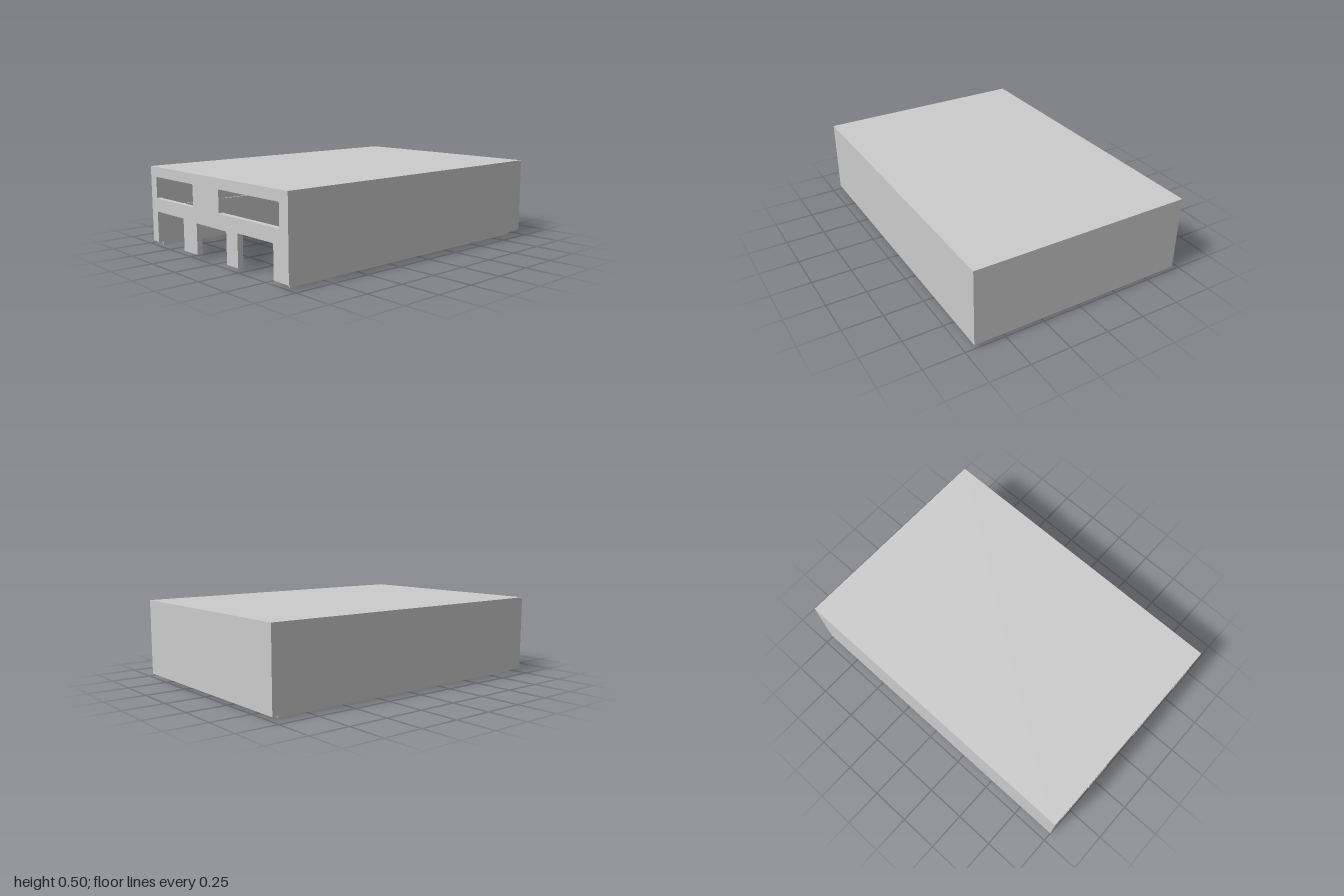
import * as THREE from 'three';

const material = new THREE.MeshStandardMaterial({ color: 0xcccccc, flatShading: true });

// Outer size, and the inner cavity
const W = 0.695, TOP = 0.505, RIM = 0.025, CEIL = 0.48;
const IN = { left: -0.65, right: 0.665, back: -0.935, front: 0.965 };
const R = 0.007; // small corner radius of the cut-outs

function add(group, name, geometry) {
  const mesh = new THREE.Mesh(geometry, material);
  mesh.name = name;
  group.add(mesh);
  return mesh;
}

// U-shaped wall in plan (open to the front), standing from y0 to y1
function uWall(outer, inner, y0, y1) {
  const f = -IN.front;
  const s = new THREE.Shape([
    [outer.left, f], [inner.left, f], [inner.left, -inner.back], [inner.right, -inner.back],
    [inner.right, f], [outer.right, f], [outer.right, -outer.back], [outer.left, -outer.back],
  ].map(([x, y]) => new THREE.Vector2(x, y)));
  const g = new THREE.ExtrudeGeometry(s, { depth: y1 - y0, bevelEnabled: false });
  return g.rotateX(-Math.PI / 2).translate(0, y0, 0);
}

const inset = (d) => ({ left: IN.left + d, right: IN.right - d, back: IN.back + d });

// Rounded window hole
function windowHole(x0, x1, y0, y1) {
  const p = new THREE.Path();
  p.moveTo(x0 + R, y0).lineTo(x1 - R, y0).quadraticCurveTo(x1, y0, x1, y0 + R);
  p.lineTo(x1, y1 - R).quadraticCurveTo(x1, y1, x1 - R, y1);
  p.lineTo(x0 + R, y1).quadraticCurveTo(x0, y1, x0, y1 - R);
  p.lineTo(x0, y0 + R).quadraticCurveTo(x0, y0, x0 + R, y0);
  return p;
}

// Front panel with two windows and three notches open at the bottom
function frontPanel() {
  const s = new THREE.Shape();
  s.moveTo(-W, RIM);
  for (const [x0, x1, h] of [[-0.63, -0.315, 0.222], [-0.167, 0.142, 0.215], [0.25, 0.57, 0.222]]) {
    s.lineTo(x0, RIM).lineTo(x0, h - R).quadraticCurveTo(x0, h, x0 + R, h);
    s.lineTo(x1 - R, h).quadraticCurveTo(x1, h, x1, h - R).lineTo(x1, RIM);
  }
  s.lineTo(W, RIM).lineTo(W, TOP).lineTo(-W, TOP).lineTo(-W, RIM);
  s.holes.push(windowHole(-0.63, -0.2, 0.305, 0.442), windowHole(0.072, 0.622, 0.305, 0.442));
  const g = new THREE.ExtrudeGeometry(s, { depth: 1 - IN.front, bevelEnabled: false, curveSegments: 4 });
  return g.translate(0, 0, IN.front);
}

export function createModel() {
  const group = new THREE.Group();
  group.name = 'enclosureCover';

  // Shell
  const roofDepth = 1 + IN.front;
  add(group, 'roof', new THREE.BoxGeometry(2 * W, TOP - CEIL, roofDepth))
    .position.set(0, (TOP + CEIL) / 2, (IN.front - 1) / 2);
  add(group, 'sideAndBackWalls', uWall({ left: -W, right: W, back: -1 }, IN, RIM, CEIL));
  add(group, 'frontPanel', frontPanel());

  // Thin inner liner whose lip sticks out below the rim, stepped at its foot
  add(group, 'liner', uWall(IN, inset(0.013), 0.01, 0.25));
  add(group, 'linerFoot', uWall(inset(0.006), inset(0.013), 0, 0.01));

  return group;
}
